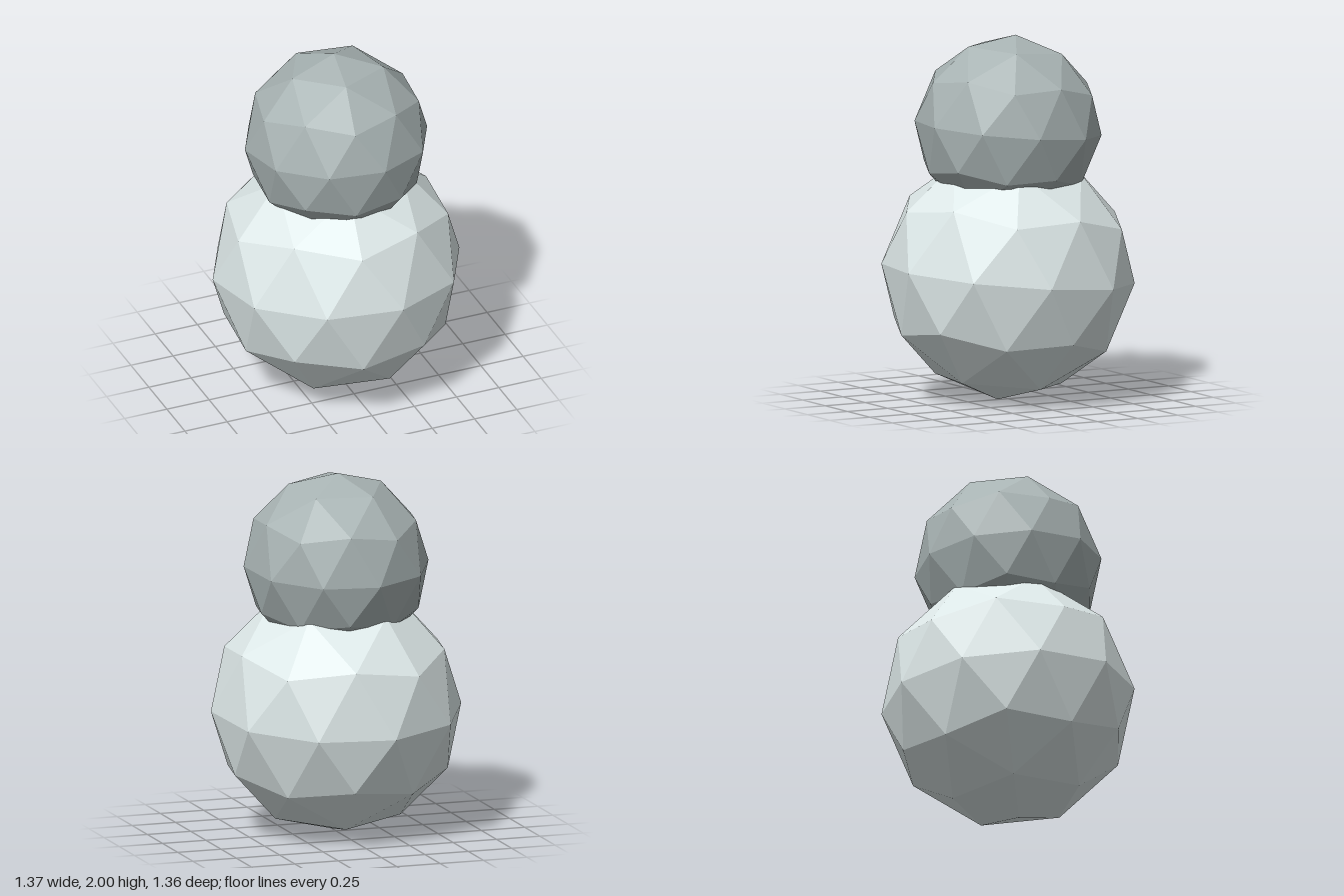
import * as THREE from 'three';

const deg = THREE.MathUtils.degToRad;

// Low-poly ball: an icosphere with one corner pointing up, turned and slightly tilted
function makeBall(name, radius, height, color) {
  const geometry = new THREE.IcosahedronGeometry(radius, 1);
  geometry.rotateZ(-Math.atan(2 / (1 + Math.sqrt(5)))); // corner to the top
  geometry.rotateY(deg(-27));
  geometry.rotateX(deg(-5));
  geometry.rotateZ(deg(-0.7));
  const material = new THREE.MeshStandardMaterial({ color, flatShading: true });
  const ball = new THREE.Mesh(geometry, material);
  ball.name = name;
  ball.position.y = height;
  return ball;
}

export function createModel() {
  const group = new THREE.Group();
  group.name = 'stackedBalls';
  group.add(makeBall('body', 0.692, 0.69, 0xdde8e8));
  group.add(makeBall('head', 0.511, 1.49, 0xa8b3b3));
  return group;
}
